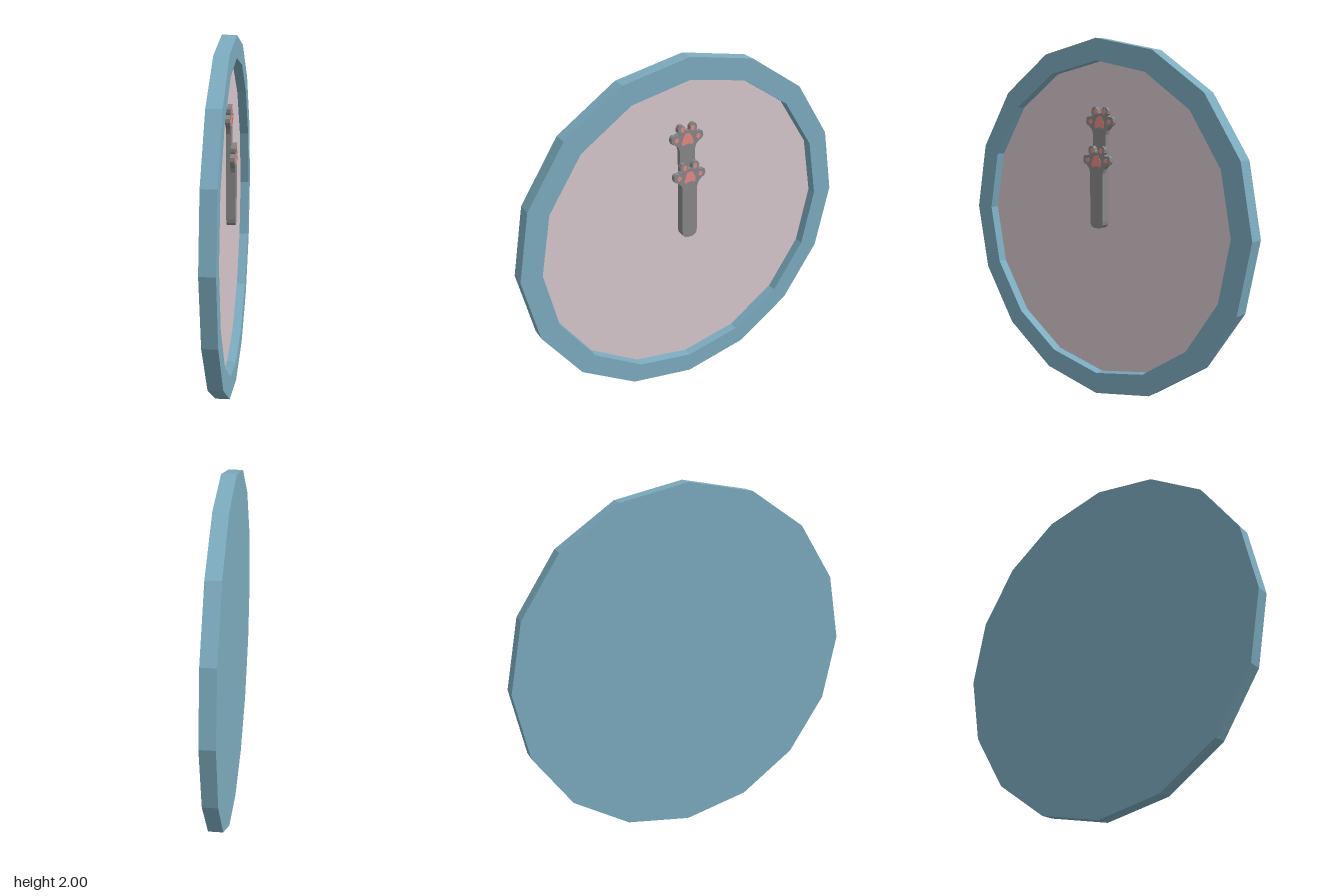
import * as THREE from 'three';

const mat = (name, color) => {
  const m = new THREE.MeshStandardMaterial({ color });
  m.name = name;
  return m;
};

const FLOOR = -0.013; // x of the recessed dial
const THICK = 0.025;  // thickness of one hand

// Half outline of a paw, from wrist to the notch between the toes
const PAW = [
  [0.046, 1.266], [0.054, 1.292], [0.075, 1.313], [0.09, 1.319], [0.098, 1.335], [0.096, 1.357],
  [0.084, 1.365], [0.066, 1.364], [0.054, 1.371], [0.046, 1.368], [0.057, 1.38],
  [0.059, 1.4], [0.048, 1.416], [0.03, 1.417], [0.017, 1.405], [0.013, 1.382],
];
// Half outline of the rounded arm end
const ARM_END = [[0.015, 0.96], [0.033, 0.967], [0.043, 0.98], [0.046, 1.0]];
// Half outline of the main pad
const PAD = [[0.012, 1.306], [0.026, 1.299], [0.035, 1.307], [0.034, 1.325],
  [0.027, 1.343], [0.018, 1.36], [0.007, 1.365]];

// Closed shape from a half outline, mirrored left to right
function mirrored(half) {
  const other = half.map(([x, y]) => [-x, y]).reverse();
  return new THREE.Shape([...half, ...other].map(([x, y]) => new THREE.Vector2(x, y)));
}

// Extrude a shape and turn it to face +x, with its back at the given x
function plate(name, shape, x, depth, material) {
  const geo = new THREE.ExtrudeGeometry(shape, { depth, bevelEnabled: false, curveSegments: 4 });
  geo.rotateY(Math.PI / 2);
  geo.translate(x, 0, 0);
  const mesh = new THREE.Mesh(geo, material);
  mesh.name = name;
  return mesh;
}

// Clock hand: arm with a paw at its tip; lift lengthens the arm
function pawHand(name, x, lift, fur, pink) {
  const hand = new THREE.Group();
  hand.name = name;
  const up = (pts) => pts.map(([a, b]) => [a, b + lift]);
  hand.add(plate('armAndPaw', mirrored([...ARM_END, ...up(PAW)]), x, THICK, fur));

  const front = x + THICK;
  hand.add(plate('palmPad', mirrored(up(PAD)), front, 0.002, pink));
  for (const s of [-1, 1]) {
    for (const [z, y, rx, ry] of [[0.031, 1.392, 0.013, 0.017], [0.066, 1.338, 0.014, 0.014]]) {
      const toe = new THREE.Shape();
      toe.absellipse(s * z, y + lift, rx, ry, 0, Math.PI * 2);
      hand.add(plate('toePad', toe, front, 0.002, pink));
    }
  }
  return hand;
}

export function createModel() {
  const teal = mat('teal case', 0x7cacbf);
  const dialColor = mat('pale pink dial', 0xd6c8cd);
  const fur = mat('grey fur', 0x888888);
  const pink = mat('pink pads', 0xe48a84);

  const model = new THREE.Group();
  model.name = 'wallClock';

  // Sixteen-sided case: back, outer wall, rim and inner wall
  const profile = [[0, -0.04], [1, -0.04], [1, 0.04], [0.88, 0.04], [0.88, FLOOR]]
    .map(([r, h]) => new THREE.Vector2(r, h));
  const caseGeo = new THREE.LatheGeometry(profile, 16).toNonIndexed();
  caseGeo.computeVertexNormals();
  caseGeo.rotateZ(-Math.PI / 2);
  const body = new THREE.Mesh(caseGeo, teal);
  body.name = 'case';
  body.position.y = 1;
  model.add(body);

  // Recessed dial
  const dial = new THREE.Mesh(new THREE.CircleGeometry(0.88, 16).rotateY(Math.PI / 2), dialColor);
  dial.name = 'dial';
  dial.position.set(FLOOR, 1, 0);
  model.add(dial);

  // Long hand behind, short hand in front
  model.add(pawHand('minuteHand', FLOOR, 0.212, fur, pink));
  model.add(pawHand('hourHand', FLOOR + THICK, 0, fur, pink));

  return model;
}
